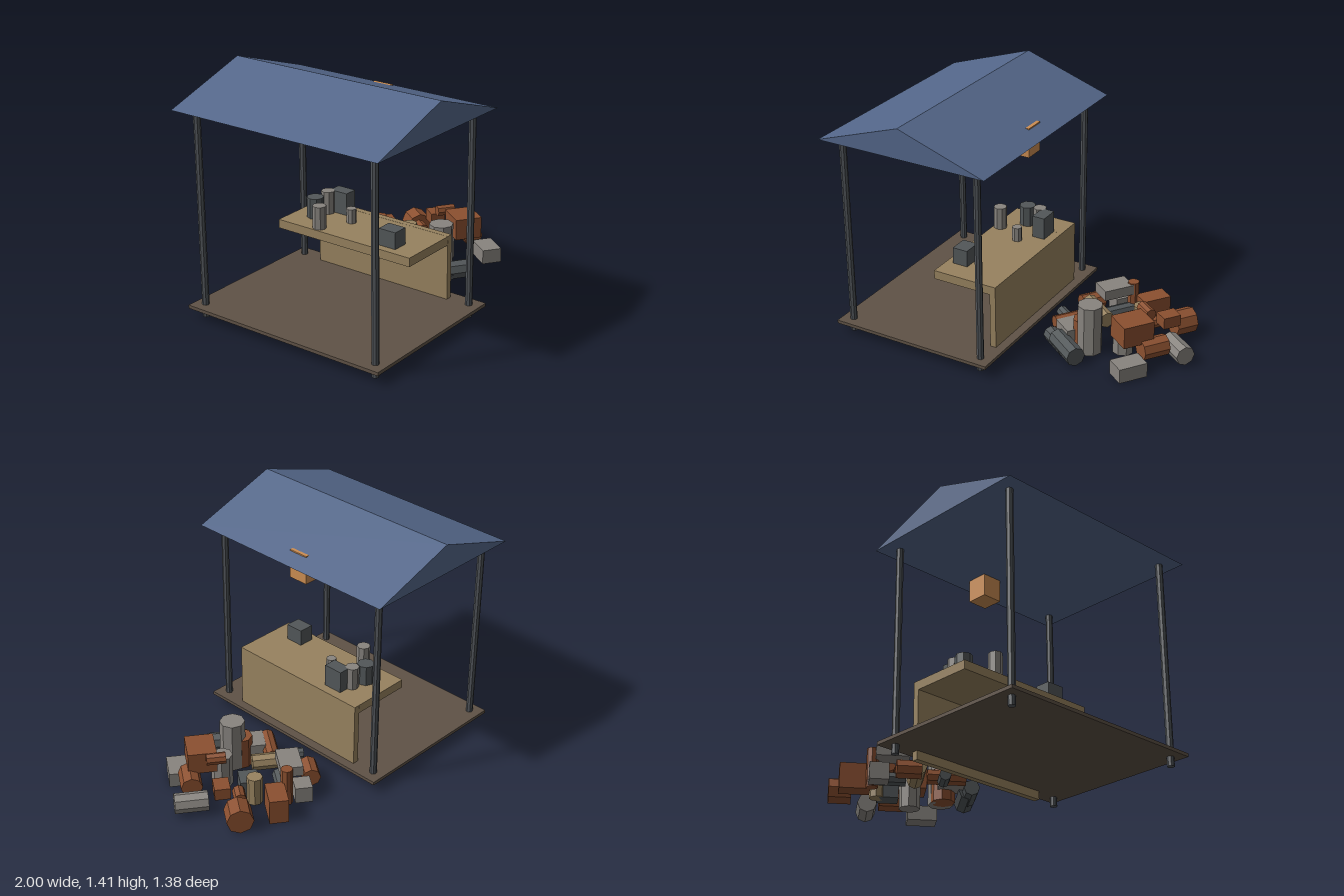
import * as THREE from 'three';

const mat = (name, color) => {
  const m = new THREE.MeshStandardMaterial({ color, flatShading: true });
  m.name = name;
  return m;
};

export function createModel() {
  const blue = mat('roof blue', 0x54678a);
  const steel = mat('post steel', 0x505459);
  const floorBrown = mat('floor brown', 0x5f5246);
  const tan = mat('counter tan', 0x97825f);
  const orange = mat('lamp orange', 0xcb8d52);
  const rust = mat('rust', 0x8c5030);
  const grey = mat('grey metal', 0x88847f);
  const dark = mat('dark metal', 0x525759);

  const model = new THREE.Group();
  model.name = 'marketStall';

  const add = (parent, name, geometry, material, x, y, z, yaw = 0, roll = 0) => {
    const mesh = new THREE.Mesh(geometry, material);
    mesh.name = name;
    mesh.position.set(x, y, z);
    mesh.rotation.set(0, yaw, roll);
    parent.add(mesh);
    return mesh;
  };
  const box = (parent, name, m, w, h, d, x, y, z, yaw) =>
    add(parent, name, new THREE.BoxGeometry(w, h, d), m, x, y, z, yaw);
  // Upright eight-sided drum between two heights
  const drum = (parent, name, m, r, y0, y1, x, z) =>
    add(parent, name, new THREE.CylinderGeometry(r, r, y1 - y0, 8), m, x, (y0 + y1) / 2, z);
  // Eight-sided drum lying along its yaw direction
  const lying = (parent, name, m, r, len, x, y, z, yaw) =>
    add(parent, name, new THREE.CylinderGeometry(r, r, len, 8), m, x, y, z, yaw, Math.PI / 2);

  // Gabled roof
  const gable = new THREE.Shape();
  gable.moveTo(-0.54, 0);
  gable.lineTo(0.54, 0);
  gable.lineTo(0, 0.18);
  gable.closePath();
  const roof = new THREE.ExtrudeGeometry(gable, { depth: 1.385, bevelEnabled: false });
  add(model, 'roof', roof, blue, -0.46, 1.235, -0.693);

  // Floor and posts
  box(model, 'floor', floorBrown, 1.02, 0.02, 1.335, -0.46, 0.065, 0);
  for (const x of [-0.9, -0.022])
    for (const z of [-0.6, 0.6]) drum(model, 'post', steel, 0.021, 0, 1.24, x, z);

  // Hanging lamp
  box(model, 'lamp', orange, 0.125, 0.176, 0.125, -0.08, 1.187, 0);

  // Counter
  const counter = new THREE.Group();
  counter.name = 'counter';
  model.add(counter);
  box(counter, 'counterTop', tan, 0.37, 0.053, 0.926, -0.226, 0.437, 0);
  box(counter, 'counterPanel', tan, 0.037, 0.46, 0.926, -0.022, 0.234, 0);

  // Goods on the counter
  const goods = new THREE.Group();
  goods.name = 'goods';
  model.add(goods);
  box(goods, 'darkBox', dark, 0.095, 0.1, 0.113, -0.317, 0.514, 0.278);
  box(goods, 'tallBox', dark, 0.08, 0.135, 0.12, -0.097, 0.532, -0.24);
  drum(goods, 'tallCan', grey, 0.04, 0.464, 0.6, -0.368, -0.195);
  drum(goods, 'smallCan', grey, 0.03, 0.464, 0.55, -0.195, -0.1);
  drum(goods, 'wideCan', dark, 0.05, 0.464, 0.587, -0.25, -0.32);
  drum(goods, 'backCan', grey, 0.04, 0.464, 0.6, -0.155, -0.302);

  // Scrap pile: every piece lies along one of two crossing directions
  const scrap = new THREE.Group();
  scrap.name = 'scrapPile';
  model.add(scrap);
  const A = -0.62, B = A + Math.PI / 2;

  // Boxes: material, width, height, depth, x, y, z
  for (const [m, w, h, d, x, y, z] of [
    [rust, 0.11, 0.15, 0.175, 0.565, 0.075, -0.405],
    [grey, 0.1, 0.1, 0.11, 0.355, 0.05, -0.4],
    [grey, 0.13, 0.062, 0.19, 0.36, 0.191, -0.3],
    [grey, 0.15, 0.07, 0.15, 0.29, 0.095, 0.08],
    [rust, 0.165, 0.13, 0.19, 0.675, 0.213, 0.095],
    [rust, 0.09, 0.07, 0.11, 0.772, 0.165, -0.18],
    [dark, 0.11, 0.13, 0.12, 0.555, 0.065, -0.17],
    [grey, 0.12, 0.088, 0.175, 0.727, 0.046, 0.238],
  ]) box(scrap, 'scrapBox', m, w, h, d, x, y, z, A);

  // Lying drums: material, radius, length, x, y, z, yaw
  for (const [m, r, len, x, y, z, yaw] of [
    [rust, 0.055, 0.14, 0.205, 0.055, -0.31, B],
    [dark, 0.034, 0.12, 0.135, 0.036, -0.11, A],
    [tan, 0.048, 0.24, 0.335, 0.11, -0.14, A],
    [rust, 0.045, 0.22, 0.23, 0.09, -0.01, B],
    [dark, 0.046, 0.2, 0.245, 0.048, 0.185, A],
    [dark, 0.057, 0.24, 0.33, 0.06, 0.235, A],
    [rust, 0.062, 0.16, 0.79, 0.11, 0.06, B],
    [rust, 0.034, 0.11, 0.69, 0.262, -0.05, A],
    [rust, 0.036, 0.09, 0.685, 0.1, -0.23, B],
    [rust, 0.077, 0.13, 0.79, 0.077, -0.335, B],
    [grey, 0.058, 0.19, 0.89, 0.07, -0.055, A],
    [dark, 0.04, 0.2, 0.41, 0.06, -0.29, B],
  ]) lying(scrap, 'scrapDrum', m, r, len, x, y, z, yaw);

  // Upright drums: material, radius, top, x, z
  for (const [m, r, top, x, z] of [
    [rust, 0.035, 0.23, 0.45, -0.37],
    [rust, 0.07, 0.19, 0.37, 0.09],
    [grey, 0.074, 0.303, 0.412, 0.11],
    [grey, 0.062, 0.2, 0.582, 0.02],
    [tan, 0.046, 0.17, 0.57, -0.235],
  ]) drum(scrap, 'standingDrum', m, r, 0, top, x, z);

  return model;
}
